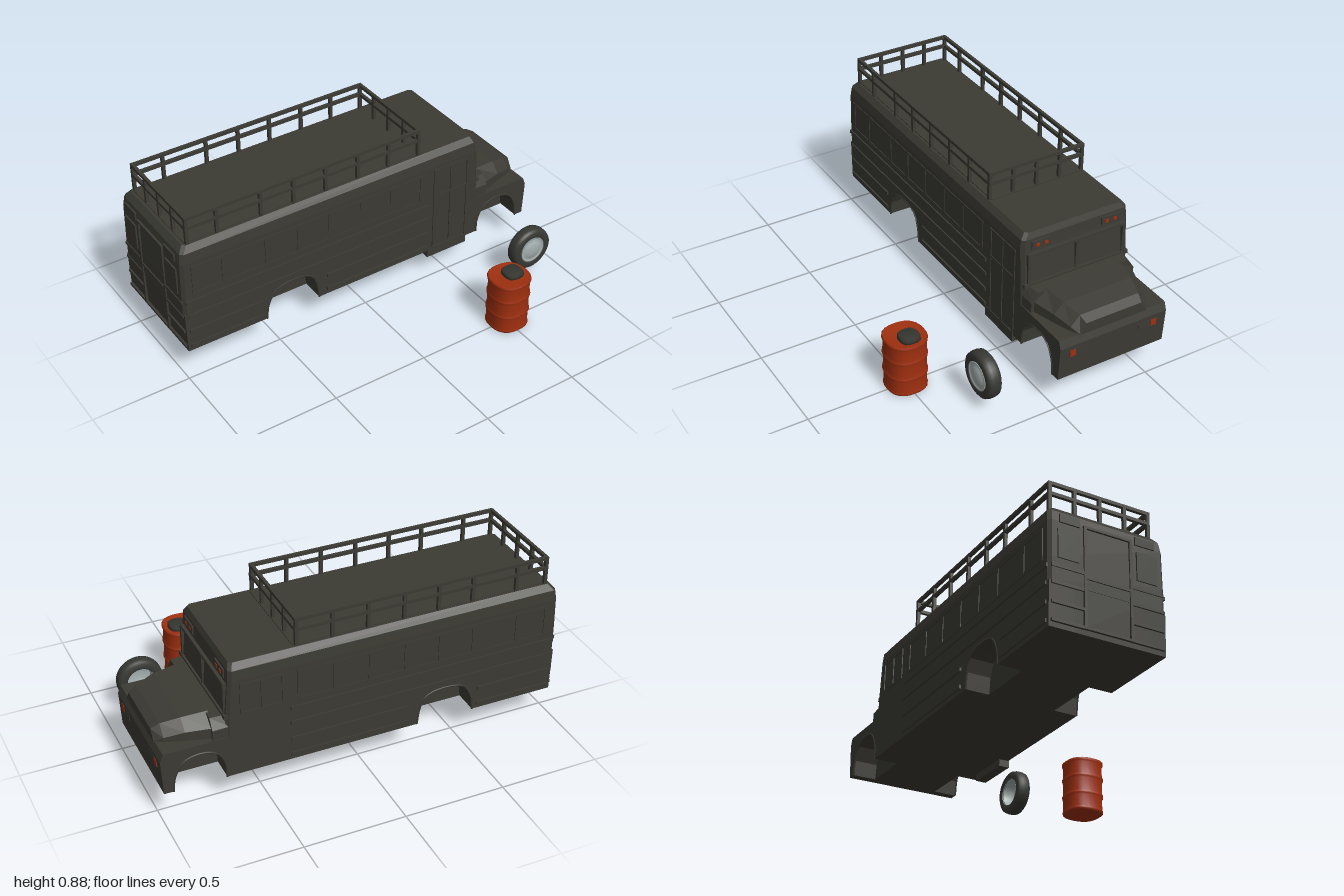
import * as THREE from 'three';

const mat = (name, color, side = THREE.FrontSide) => {
  const m = new THREE.MeshStandardMaterial({ color, side });
  m.name = name;
  return m;
};

// Faceted solid through closed cross-sections with equal point counts
function loft(rings) {
  const pos = [], n = rings[0].length, last = rings.length - 1;
  const tri = (a, b, c) => pos.push(...a, ...b, ...c);
  for (let i = 0; i < last; i++) for (let j = 0; j < n; j++) {
    const k = (j + 1) % n, a = rings[i], b = rings[i + 1];
    tri(a[j], a[k], b[k]);
    tri(a[j], b[k], b[j]);
  }
  for (let j = 1; j < n - 1; j++) {
    tri(rings[0][0], rings[0][j + 1], rings[0][j]);
    tri(rings[last][0], rings[last][j], rings[last][j + 1]);
  }
  // Turn all triangles outward
  let volume = 0;
  const v = i => new THREE.Vector3(pos[i], pos[i + 1], pos[i + 2]);
  for (let i = 0; i < pos.length; i += 9) volume += v(i).dot(v(i + 3).cross(v(i + 6)));
  if (volume < 0) for (let i = 0; i < pos.length; i += 9) for (let c = 3; c < 6; c++) {
    [pos[i + c], pos[i + c + 3]] = [pos[i + c + 3], pos[i + c]];
  }
  const g = new THREE.BufferGeometry();
  g.setAttribute('position', new THREE.Float32BufferAttribute(pos, 3));
  g.computeVertexNormals();
  return g;
}

// Squares off a round plan into a superellipse
function squareOff(g, power) {
  const p = g.attributes.position;
  for (let i = 0; i < p.count; i++) {
    const x = p.getX(i), z = p.getZ(i), r = Math.hypot(x, z);
    if (r < 1e-6) continue;
    const k = (Math.abs(x / r) ** power + Math.abs(z / r) ** power) ** (-1 / power);
    p.setX(i, x * k);
    p.setZ(i, z * k);
  }
  g.computeVertexNormals();
  return g;
}

const lathe = (pts, seg) => new THREE.LatheGeometry(pts.map(p => new THREE.Vector2(...p)), seg);

export function createModel() {
  const paint = mat('busPaint', 0x3b3a33);
  const orange = mat('rustOrange', 0x9e2f0f, THREE.DoubleSide);
  const rubber = mat('tyreRubber', 0x373833);
  const steel = mat('hubSteel', 0xa3adad, THREE.DoubleSide);
  const capGrey = mat('capGrey', 0x34352f);

  const model = new THREE.Group();
  const bus = new THREE.Group();
  bus.name = 'bus';
  bus.position.z = -0.298;
  model.add(bus);

  const add = (name, geo, m, parent = bus) => {
    const mesh = new THREE.Mesh(geo, m);
    mesh.name = name;
    parent.add(mesh);
    return mesh;
  };
  // Box given by its limits
  const box = (name, x0, x1, y0, y1, z0, z1, m = paint) =>
    add(name, new THREE.BoxGeometry(x1 - x0, y1 - y0, z1 - z0), m)
      .position.set((x0 + x1) / 2, (y0 + y1) / 2, (z0 + z1) / 2);

  // Lower body: solid core between two side panels with wheel arches
  const rearArch = [[-0.56, 0.155], [-0.55, 0.23], [-0.51, 0.3], [-0.46, 0.32],
    [-0.35, 0.32], [-0.3, 0.295], [-0.275, 0.235], [-0.265, 0.155]];
  const frontArch = [[0.69, 0.155], [0.695, 0.23], [0.73, 0.295], [0.78, 0.32],
    [0.85, 0.32], [0.9, 0.295], [0.935, 0.23], [0.945, 0.155]];
  const lower = (name, arches, z, depth) => {
    const pts = [[-0.985, 0.155], ...arches, [0.99, 0.155], [1, 0.33], [0.985, 0.37], [-0.99, 0.37]];
    const shape = new THREE.Shape(pts.map(p => new THREE.Vector2(...p)));
    add(name, new THREE.ExtrudeGeometry(shape, { depth, bevelEnabled: false }), paint).position.z = z;
  };
  lower('chassisCore', [], -0.17, 0.34);
  lower('leftSkirt', [...rearArch, ...frontArch], 0.17, 0.12);
  lower('rightSkirt', [...rearArch, ...frontArch], -0.29, 0.12);

  // Cabin with chamfered corners and roof edge
  const planRing = ([y, x0, x1, h], c = 0.015) => [[x0 + c, h], [x1 - c, h], [x1, h - c], [x1, c - h],
    [x1 - c, -h], [x0 + c, -h], [x0, c - h], [x0, h - c]].map(([x, z]) => [x, y, z]);
  add('cabin', loft([[0.365, -0.992, 0.69, 0.291], [0.48, -0.992, 0.685, 0.291],
    [0.66, -0.988, 0.67, 0.29], [0.71, -0.98, 0.667, 0.285],
    [0.74, -0.955, 0.655, 0.262]].map(r => planRing(r))), paint);
  box('roofPanel', -0.94, 0.35, 0.738, 0.744, -0.25, 0.25);

  // Cowl and tapering hood
  const noseRing = ([x, low, top, y]) => [[-low, 0.365], [-low, y - 0.05], [-top, y], [top, y],
    [low, y - 0.05], [low, 0.365]].map(([z, h]) => [x, h, z]);
  add('cowl', loft([[0.67, 0.287, 0.26, 0.475], [0.75, 0.283, 0.25, 0.47]].map(noseRing)), paint);
  add('hood', loft([[0.74, 0.27, 0.2, 0.475], [0.86, 0.235, 0.185, 0.465],
    [0.95, 0.205, 0.16, 0.443], [0.99, 0.18, 0.15, 0.42]].map(noseRing)), paint);

  // Side windows, trim rails and arch lips, mirrored
  const posts = [-0.93, -0.775, -0.545, -0.37, -0.195, -0.015, 0.16, 0.335];
  for (const s of [1, -1]) {
    const strip = (name, x0, x1, y0, y1, out = 0.295) =>
      box(name, x0, x1, y0, y1, Math.min(s * 0.287, s * out), Math.max(s * 0.287, s * out));
    posts.forEach(x => strip('windowPillar', x - 0.01, x + 0.01, 0.485, 0.63, 0.294));
    strip('windowSill', -0.94, 0.345, 0.478, 0.488, 0.295);
    strip('windowHeader', -0.94, 0.345, 0.625, 0.635, 0.294);
    for (const [y, x0, x1] of [[0.44, -0.98, 0.38], [0.36, -0.97, 0.38]])
      strip('trimRail', x0, x1, y - 0.009, y + 0.009, 0.298);
    for (const y of [0.27, 0.185]) {
      strip('trimRailRear', -0.97, -0.58, y - 0.009, y + 0.009, 0.298);
      strip('trimRailFront', -0.22, 0.38, y - 0.009, y + 0.009, 0.298);
    }
    for (const arch of [rearArch, frontArch]) {
      const curve = new THREE.CatmullRomCurve3(arch.map(([x, y]) => new THREE.Vector3(x, y, s * 0.289)));
      add('archLip', new THREE.TubeGeometry(curve, 16, 0.005, 5), paint);
    }
    // Front door on one side, driver's window on the other
    const doorFoot = s > 0 ? 0.17 : 0.485;
    for (const x of [0.415, 0.515, 0.615]) strip('doorUpright', x - 0.006, x + 0.006, doorFoot, 0.64);
    for (const y of [doorFoot, 0.485, 0.635]) strip('doorRail', 0.41, 0.62, y - 0.005, y + 0.005);
  }
  box('doorStep', 0.38, 0.62, 0.12, 0.17, 0.24, 0.294);

  // Windshield frame
  for (const z of [-0.258, 0, 0.258]) box('windshieldPost', 0.66, 0.69, 0.48, 0.635, z - 0.008, z + 0.008);
  box('windshieldHeader', 0.66, 0.688, 0.625, 0.64, -0.265, 0.265);
  box('windshieldSill', 0.67, 0.695, 0.465, 0.485, -0.285, 0.285);

  // Front lamps
  for (const s of [1, -1]) {
    const lamp = (name, x, a, b, y0, y1, m) =>
      box(name, x - 0.008, x, y0, y1, Math.min(s * a, s * b), Math.max(s * a, s * b), m);
    lamp('roofLampPlate', 0.676, 0.138, 0.24, 0.654, 0.698, paint);
    for (const z of [0.165, 0.21]) lamp('roofLamp', 0.679, z - 0.01, z + 0.01, 0.668, 0.684, orange);
    lamp('headlampPlate', 1.0, 0.138, 0.24, 0.27, 0.31, paint);
    lamp('turnLamp', 1.002, 0.207, 0.237, 0.273, 0.307, orange);
    // Rear corner windows and lamp plates
    lamp('rearLampPlate', -0.987, 0.14, 0.24, 0.655, 0.695, paint);
    lamp('rearWindow', -0.99, 0.145, 0.25, 0.48, 0.62, paint);
  }

  // Rear emergency door
  for (const z of [-0.115, 0.115]) box('rearDoorUpright', -0.998, -0.98, 0.18, 0.67, z - 0.007, z + 0.007);
  for (const y of [0.185, 0.42, 0.665]) box('rearDoorRail', -0.998, -0.975, y - 0.006, y + 0.006, -0.12, 0.12);
  for (const y of [0.185, 0.27, 0.36, 0.44]) for (const s of [1, -1])
    box('rearTrim', -0.997, -0.98, y - 0.007, y + 0.007, s * 0.2 - 0.08, s * 0.2 + 0.08);

  // Roof rack
  const t = 0.008;
  for (const y of [0.825, 0.876]) {
    for (const z of [-0.253, 0.253]) box('rackSideRail', -0.938, 0.345, y - t, y + t, z - t, z + t);
    for (const x of [-0.93, 0.337]) box('rackEndRail', x - t, x + t, y - t, y + t, -0.253, 0.253);
  }
  for (const x of posts) for (const z of [-0.253, 0.253])
    box('rackPost', x - t, x + t, 0.735, 0.876, z - t, z + t);
  for (const x of [-0.93, 0.337]) for (const z of [-0.128, 0, 0.128])
    box('rackEndPost', x - t, x + t, 0.735, 0.876, z - t, z + t);

  // Barrel with ribs and cap
  const barrel = new THREE.Group();
  barrel.name = 'barrel';
  barrel.position.set(0.5, 0, 0.5);
  model.add(barrel);
  const drum = [[0, 0.004], [0.085, 0.004], [0.09, 0], [0.098, 0.006], [0.098, 0.016], [0.095, 0.022]];
  for (const y of [0.095, 0.188]) drum.push([0.095, y - 0.013], [0.1, y - 0.005], [0.1, y + 0.005], [0.095, y + 0.013]);
  drum.push([0.095, 0.262], [0.1, 0.268], [0.1, 0.28], [0.094, 0.285], [0.088, 0.278], [0, 0.278]);
  add('drum', squareOff(lathe(drum, 24), 2.5), orange, barrel);
  add('cap', squareOff(lathe([[0, 0.27], [0.05, 0.27], [0.05, 0.292], [0.043, 0.3], [0, 0.3]], 16), 3),
    capGrey, barrel).position.set(0.025, 0, -0.008);

  // Loose wheel, axle along z
  const wheel = new THREE.Group();
  wheel.name = 'wheel';
  wheel.position.set(0.81, 0.18, 0.272);
  wheel.rotation.x = Math.PI / 2;
  model.add(wheel);
  add('tyre', lathe([[0.07, -0.03], [0.078, -0.036], [0.1, -0.035], [0.111, -0.027], [0.115, -0.012],
    [0.115, 0.012], [0.111, 0.027], [0.1, 0.035], [0.078, 0.036], [0.07, 0.03], [0.07, -0.03]], 32), rubber, wheel);
  add('hub', lathe([[0.072, -0.033], [0.066, -0.02], [0.06, 0.015], [0.072, 0.034], [0.065, 0.034],
    [0.058, 0.028], [0.045, 0.036], [0.025, 0.042], [0, 0.043]], 32), steel, wheel);
  return model;
}
